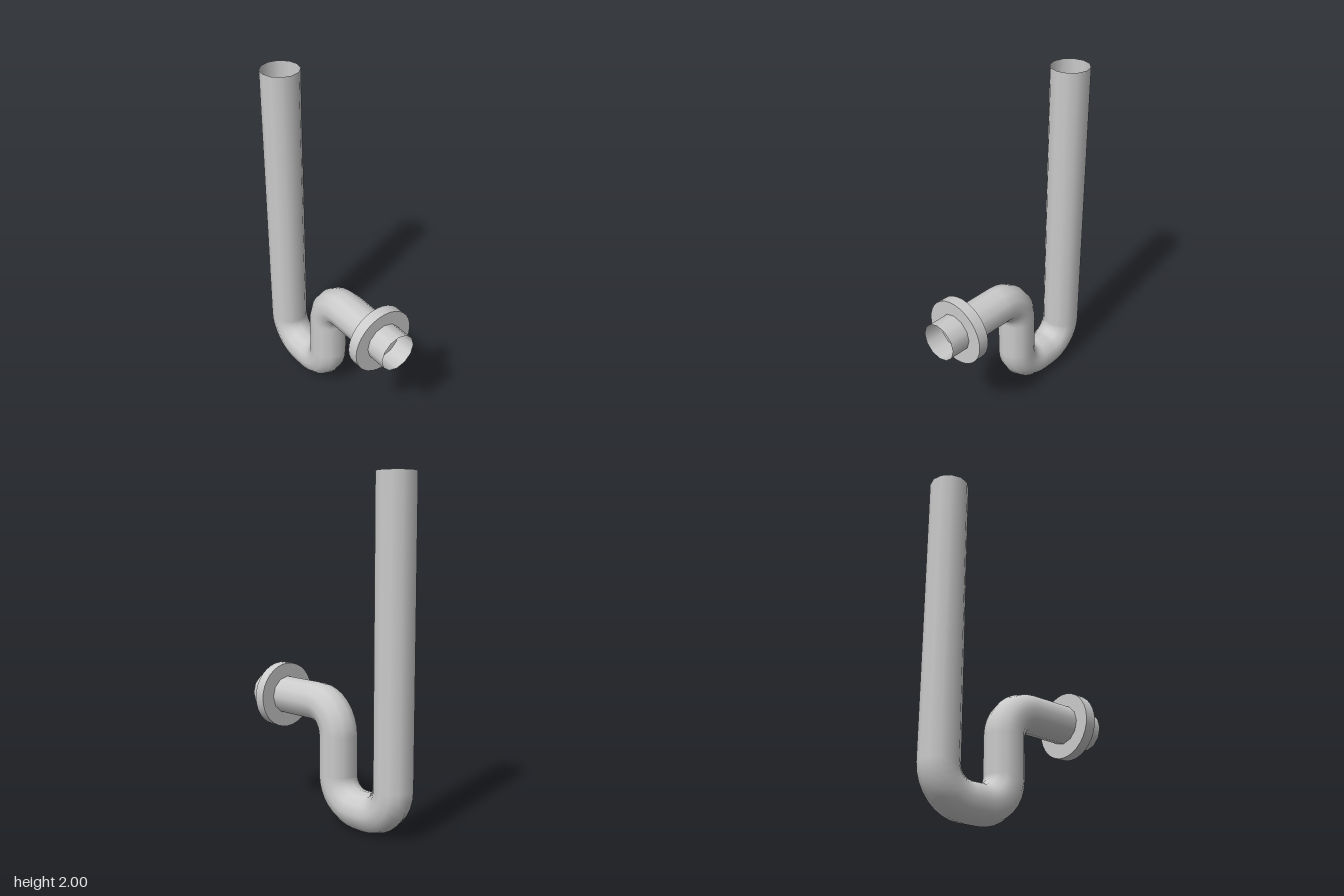
import * as THREE from 'three';

const R = 0.114;      // pipe radius
const BEND = 0.175;   // bend radius along the pipe's centre line
const SIDES = 12;

export function createModel() {
  const model = new THREE.Group();
  const pipeMaterial = new THREE.MeshStandardMaterial({ color: 0xcccccc, side: THREE.DoubleSide });
  const flangeMaterial = new THREE.MeshStandardMaterial({ color: 0xcccccc });

  const add = (name, geometry, material, y, z) => {
    const mesh = new THREE.Mesh(geometry, material);
    mesh.name = name;
    mesh.position.set(0, y, z);
    model.add(mesh);
  };

  // Open straight pipe between two points [z, y], along z or along y
  const straight = (name, [z0, y0], [z1, y1]) => {
    const length = Math.hypot(z1 - z0, y1 - y0);
    const geometry = new THREE.CylinderGeometry(R, R, length, SIDES, 1, true);
    if (y0 === y1) geometry.rotateX(Math.PI / 2);
    add(name, geometry, pipeMaterial, (y0 + y1) / 2, (z0 + z1) / 2);
  };

  // Quarter bend around [z, y]; start angle runs from +z towards +y
  const bend = (name, [z, y], start) => {
    const geometry = new THREE.TorusGeometry(BEND, R, SIDES, 8, Math.PI / 2);
    geometry.rotateZ(start).rotateY(-Math.PI / 2);
    add(name, geometry, pipeMaterial, y, z);
  };

  const outletY = 0.696, dropZ = -0.048, riserZ = -0.474;
  const upper = [dropZ + BEND, outletY - BEND];
  const trapFront = [dropZ - BEND, R + BEND];
  const trapBack = [riserZ + BEND, R + BEND];

  // Pipe run from the front outlet, through the trap, to the top of the riser
  straight('outletPipe', [0.588, outletY], [upper[0], outletY]);
  bend('upperBend', upper, Math.PI / 2);
  straight('dropPipe', [dropZ, upper[1]], [dropZ, trapFront[1]]);
  bend('trapFrontBend', trapFront, -Math.PI / 2);
  straight('trapBottom', [trapFront[0], R], [trapBack[0], R]);
  bend('trapBackBend', trapBack, Math.PI);
  straight('riserPipe', [riserZ, trapBack[1]], [riserZ, 2]);

  // Solid wall flange around the outlet
  const flange = new THREE.CylinderGeometry(0.197, 0.197, 0.067, 32).rotateX(Math.PI / 2);
  add('wallFlange', flange, flangeMaterial, outletY - 0.002, 0.431);

  return model;
}
